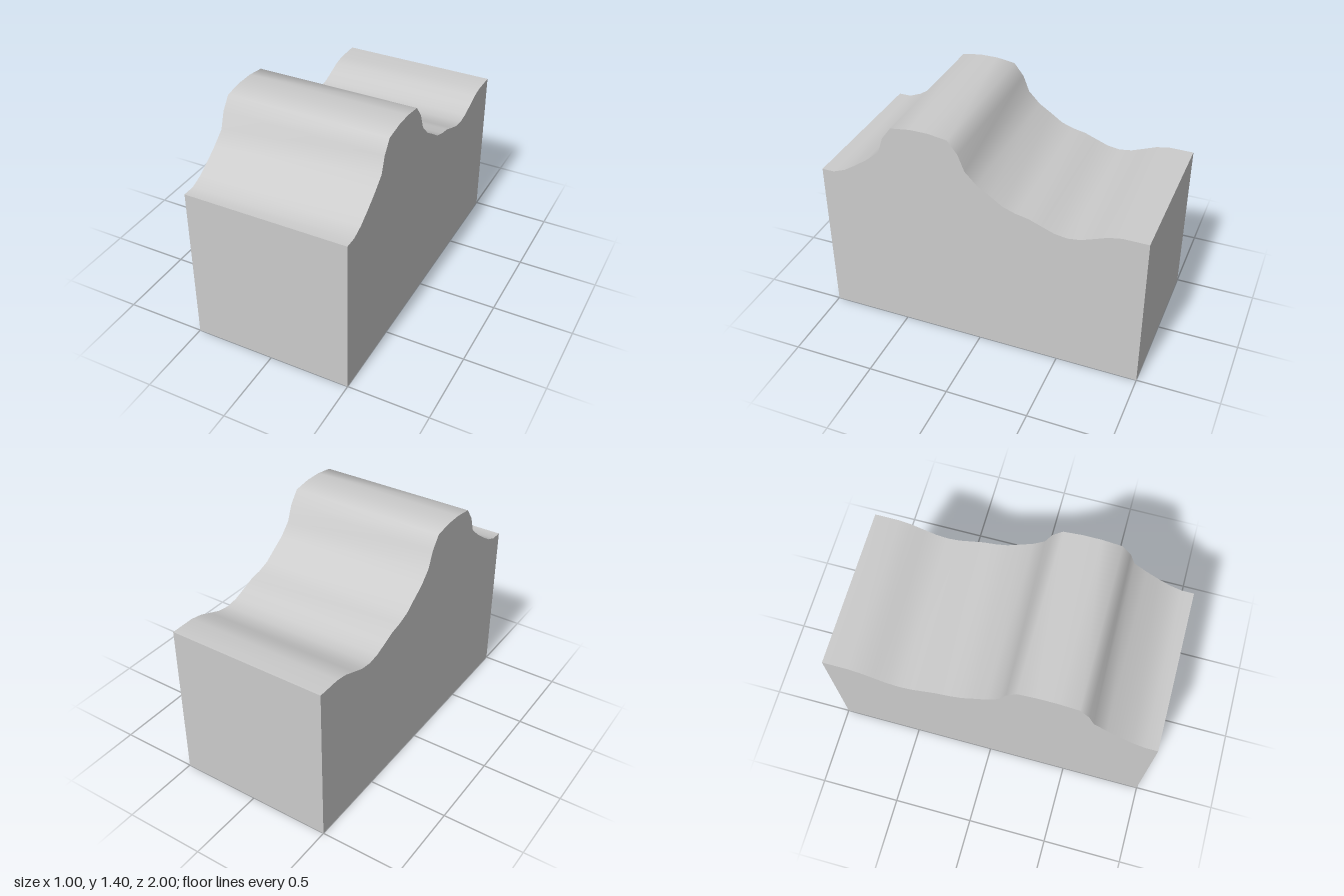
import * as THREE from 'three';
import { toCreasedNormals } from 'three/addons/utils/BufferGeometryUtils.js';

const WIDTH = 1;

// Upper contour as [z, y], from the front edge to the back edge
const CONTOUR = [
  [1, 1], [0.923, 1], [0.846, 1.03], [0.769, 1.08], [0.692, 1.135], [0.61, 1.205],
  [0.577, 1.305], [0.52, 1.383], [0.4, 1.4], [0.29, 1.4], [0.173, 1.383],
  [0.112, 1.305], [0.073, 1.205], [0, 1.13], [-0.077, 1.08], [-0.154, 1.027],
  [-0.231, 1], [-0.308, 0.985], [-0.385, 0.955], [-0.462, 0.926], [-0.538, 0.915],
  [-0.615, 0.926], [-0.692, 0.955], [-0.769, 0.985], [-0.846, 1], [-1, 1],
];

export function createModel() {
  const group = new THREE.Group();
  group.name = 'contouredBlock';

  // Side profile: flat base closed by the wavy contour
  const profile = new THREE.Shape();
  profile.moveTo(-1, 0);
  profile.lineTo(1, 0);
  for (const [z, y] of CONTOUR) profile.lineTo(z, y);
  profile.closePath();

  // Extrude across the width, then turn the profile so that it runs along z
  const geometry = new THREE.ExtrudeGeometry(profile, { depth: WIDTH, bevelEnabled: false });
  geometry.translate(0, 0, -WIDTH / 2);
  geometry.rotateY(-Math.PI / 2);

  // Smooth top, sharp box edges
  const block = new THREE.Mesh(
    toCreasedNormals(geometry, THREE.MathUtils.degToRad(60)),
    new THREE.MeshStandardMaterial({ color: 0xcccccc })
  );
  block.name = 'block';
  group.add(block);
  return group;
}
